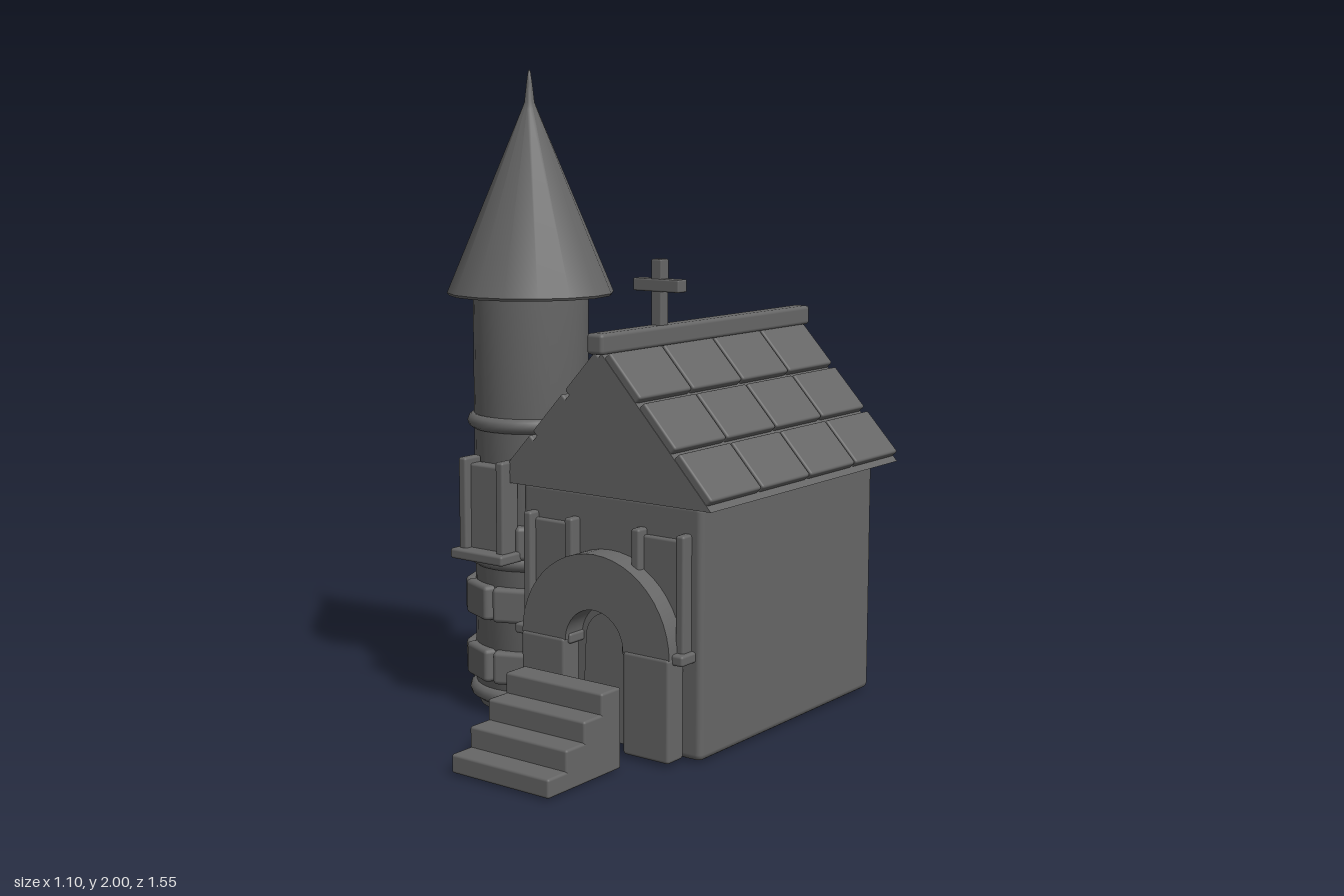
import * as THREE from 'three';
import { RoundedBoxGeometry } from 'three/addons/geometries/RoundedBoxGeometry.js';
import { toCreasedNormals } from 'three/addons/utils/BufferGeometryUtils.js';

export function createModel() {
  const model = new THREE.Group();
  model.name = 'chapel';
  const stone = new THREE.MeshStandardMaterial({ color: 0x666666 });
  stone.name = 'grey stone';

  function add(parent, name, geometry, x = 0, y = 0, z = 0) {
    const mesh = new THREE.Mesh(geometry, stone);
    mesh.name = name;
    mesh.position.set(x, y, z);
    parent.add(mesh);
    return mesh;
  }
  function group(name, parent = model) {
    const g = new THREE.Group();
    g.name = name;
    parent.add(g);
    return g;
  }
  // Softly bevelled box given by its limits
  function block(parent, name, x0, x1, y0, y1, z0, z1, bevel = 0.008) {
    const geo = new RoundedBoxGeometry(x1 - x0, y1 - y0, z1 - z0, 2, bevel);
    return add(parent, name, geo, (x0 + x1) / 2, (y0 + y1) / 2, (z0 + z1) / 2);
  }
  function extrude(shape, depth) {
    return new THREE.ExtrudeGeometry(shape, { depth, bevelEnabled: false, curveSegments: 12 });
  }
  function lathe(points, sides) {
    const geo = new THREE.LatheGeometry(points.map(p => new THREE.Vector2(...p)), sides);
    return toCreasedNormals(geo, 0.7);
  }
  // Framed window with two posts, a panel and a sill; bottom centre at x, y
  function window(name, x, y, z, halfWidth, height, parent) {
    const w = group(name, parent);
    w.position.set(x, y, z);
    block(w, 'panel', -halfWidth + 0.02, halfWidth - 0.02, 0, height - 0.02, -0.03, 0.02);
    for (const s of [-1, 1]) {
      const c = s * (halfWidth - 0.015);
      block(w, 'post', c - 0.015, c + 0.015, 0, height, -0.03, 0.045);
    }
    block(w, 'sill', -halfWidth - 0.015, halfWidth + 0.015, -0.02, 0.012, -0.03, 0.07);
  }

  // Nave and gable
  const cx = 0.155;
  block(model, 'nave', -0.18, 0.49, 0.005, 0.76, -0.68, 0.275, 0.02);
  const gable = new THREE.Shape([
    new THREE.Vector2(-0.39, 0.755), new THREE.Vector2(0.39, 0.755), new THREE.Vector2(0, 1.175)]);
  add(model, 'gable', extrude(gable, 1.05), cx, 0, -0.74);

  // Roof tiles, three rows of four on each slope
  const roof = group('roof');
  const slope = Math.atan2(0.415, 0.385), sin = Math.sin(slope), cos = Math.cos(slope);
  const tile = new RoundedBoxGeometry(0.168, 0.035, 0.256, 2, 0.007);
  for (const s of [-1, 1]) {
    for (let row = 0; row < 3; row++) {
      for (let i = 0; i < 4; i++) {
        const d = 0.095 + 0.184 * row, n = 0.01;
        const m = add(roof, 'roofTile', tile,
          cx + s * (d * cos + n * sin), 1.17 - d * sin + n * cos, 0.18 - 0.264 * i);
        m.rotation.z = -s * slope;
      }
    }
  }
  block(roof, 'ridge', 0.125, 0.185, 1.175, 1.237, -0.775, 0.345, 0.012);

  // Roof cross
  const cross = group('cross');
  block(cross, 'crossPost', 0.136, 0.174, 1.2, 1.435, 0.006, 0.046, 0.005);
  block(cross, 'crossArm', 0.07, 0.24, 1.338, 1.376, 0.003, 0.049, 0.005);

  // Portal: arch, pillars and recessed door
  const portal = group('portal');
  const px = 0.16, py = 0.315;
  const arch = new THREE.Shape();
  arch.absarc(0, 0, 0.275, 0, Math.PI, false);
  arch.absarc(0, 0, 0.108, Math.PI, 0, true);
  add(portal, 'arch', toCreasedNormals(extrude(arch, 0.085), 0.5), px, py, 0.27);
  for (const s of [-1, 1]) {
    const c = px + s * 0.193;
    block(portal, 'pillar', c - 0.083, c + 0.083, 0.01, py + 0.005, 0.283, 0.36, 0.01);
  }
  const door = new THREE.Shape();
  door.moveTo(-0.1, 0);
  door.lineTo(0.1, 0);
  door.absarc(0, 0.305, 0.085, 0, Math.PI, false);
  door.lineTo(-0.1, 0);
  add(portal, 'door', extrude(door, 0.02), px, 0.01, 0.265);
  window('leftWindow', 0.36, 0.32, 0.27, 0.095, 0.355);
  window('rightWindow', -0.05, 0.32, 0.27, 0.095, 0.355);

  // Free-standing front steps
  const steps = group('steps');
  for (let i = 0; i < 4; i++) {
    const front = 0.775 - i * 0.079;
    block(steps, 'step', -0.025, 0.335, 0.005, 0.0615 * (i + 1), 0.45, front, 0.008);
  }

  // Round tower
  const tower = group('tower');
  tower.position.set(-0.29, 0, 0.1);
  add(tower, 'towerWall', lathe([[0, 0], [0.14, 0.003], [0.168, 0.012], [0.18, 0.035], [0.18, 1.33]], 32));
  for (const y of [0.06, 0.49, 0.92]) {
    add(tower, 'towerRing', new THREE.TorusGeometry(0.177, 0.024, 10, 32), 0, y, 0).rotation.x = Math.PI / 2;
  }
  add(tower, 'spire', lathe([[0, 1.31], [0.255, 1.31], [0.26, 1.318], [0.024, 1.88], [0.016, 1.9],
    [0.009, 1.96], [0.004, 1.995], [0, 2]], 16));

  // Stone courses around the tower, the top one interrupted by the window
  const courses = [[0.16, 0.105, 0.5], [0.36, 0.11, 0.5], [0.56, 0.105, 0]];
  courses.forEach(([y, height, shift], row) => {
    const stoneGeo = new RoundedBoxGeometry(0.138, height, 0.07, 2, 0.014);
    for (let i = 0; i < 8; i++) {
      if (row === 2 && i === 0) continue;
      const a = (i + shift) * Math.PI / 4;
      const m = add(tower, 'courseStone', stoneGeo, Math.sin(a) * 0.168, y, Math.cos(a) * 0.168);
      m.rotation.y = a;
    }
  });
  window('towerWindow', 0, 0.525, 0.2, 0.09, 0.295, tower);

  return model;
}
